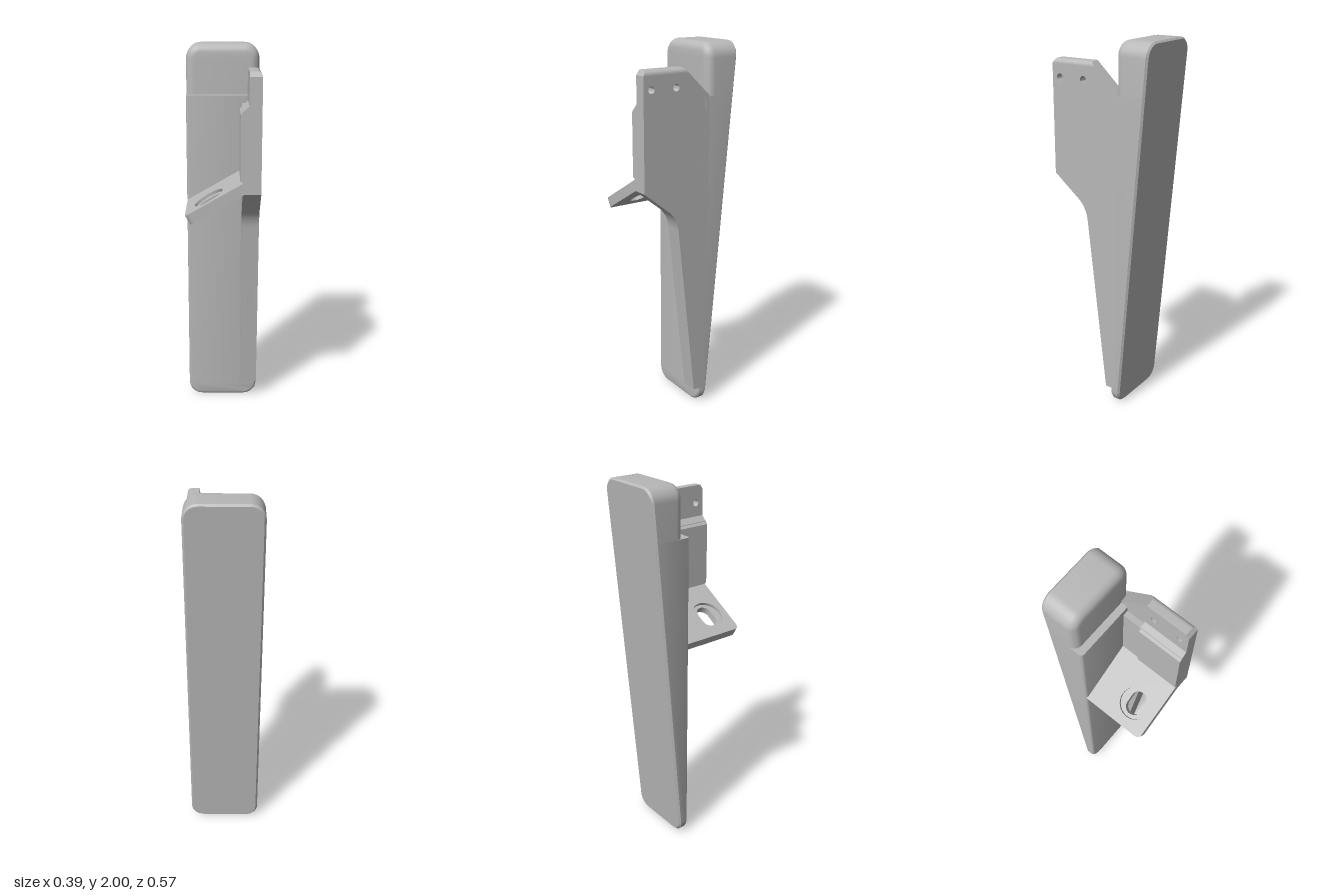
import * as THREE from 'three';
import { toCreasedNormals } from 'three/addons/utils/BufferGeometryUtils.js';

const grey = new THREE.MeshStandardMaterial({ color: 0xb8b8b8 });
grey.name = 'plain grey';

const HALF = 0.193;        // half width of the body
const CORNER = 0.075;      // outline corner radius
const backZ = (y) => -0.285 + (2 - y) * 0.0875;   // sloping back plane

// Outline with two rounded corners at one end and a square cut at the other
function outline(length, inset, flip) {
  const w = HALF - inset, r = CORNER - inset, pts = [];
  const n = 8;
  for (const [cx, start] of [[-w + r, Math.PI], [w - r, Math.PI * 1.5]]) {
    for (let i = 0; i <= n; i++) {
      const a = start + (i / n) * Math.PI / 2;
      pts.push([cx + r * Math.cos(a), inset + r + r * Math.sin(a)]);
    }
  }
  pts.push([w, length], [-w, length]);
  return flip ? pts.map(([x, y]) => [-x, 2 - y]) : pts;
}

// Wedge lofted from the chamfered sloping back to a filleted upright front
function wedge(length, front, fillet, flip) {
  const layers = [
    outline(length, 0.01, flip).map(([x, y]) => [x, y, backZ(y)]),
    outline(length, 0, flip).map(([x, y]) => [x, y, backZ(y) + 0.01]),
  ];
  for (let j = 0; j <= 6; j++) {
    const a = (j / 6) * Math.PI / 2;
    const z = front - fillet + fillet * Math.sin(a);
    layers.push(outline(length, fillet * (1 - Math.cos(a)), flip).map(([x, y]) => [x, y, z]));
  }
  const n = layers[0].length, index = [];
  for (let k = 0; k < layers.length - 1; k++) {
    for (let i = 0; i < n; i++) {
      const a = k * n + i, b = k * n + (i + 1) % n;
      index.push(a, b, b + n, a, b + n, a + n);
    }
  }
  const last = (layers.length - 1) * n;
  for (let i = 1; i < n - 1; i++) {
    index.push(0, i + 1, i, last, last + i, last + i + 1);
  }
  const geo = new THREE.BufferGeometry();
  geo.setAttribute('position', new THREE.Float32BufferAttribute(layers.flat(2), 3));
  geo.setIndex(index);
  return geo;
}

function extrude(shape, depth) {
  return new THREE.ExtrudeGeometry(shape, { depth, bevelEnabled: false, curveSegments: 20 });
}

// Extrude a side profile drawn in (z, y) between two x positions
function sidePlate(shape, x0, x1) {
  return extrude(shape, x1 - x0).rotateY(-Math.PI / 2).translate(x1, 0, 0);
}

function circleHole(x, y, r) {
  return new THREE.Path().absarc(x, y, r, 0, Math.PI * 2, true);
}

// Side profile of the flange, up to a given top height
function flangeProfile(top, slopeZ) {
  const s = new THREE.Shape();
  s.moveTo(-0.09, 0.095);
  s.lineTo(-0.03, 0.095);
  s.lineTo(0.08, 1.06);
  s.quadraticCurveTo(0.088, 1.125, 0.13, 1.165);
  s.lineTo(0.285, 1.29);
  s.lineTo(0.285, top);
  s.lineTo(slopeZ, top);
  s.lineTo(-0.11, Math.min(top, 1.74));
  s.lineTo(-0.11, 1.5);
  s.closePath();
  return s;
}

// Tab outline in (along, -z) with one rounded free corner
function tabShape() {
  const s = new THREE.Shape();
  s.moveTo(0.03, 0.07);
  s.lineTo(-0.335, 0.07);
  s.lineTo(-0.335, -0.255);
  s.quadraticCurveTo(-0.335, -0.285, -0.303, -0.285);
  s.lineTo(0.03, -0.285);
  s.closePath();
  return s;
}

export function createModel() {
  const model = new THREE.Group();
  model.name = 'bracketWedge';
  const add = (name, geo, parent = model) => {
    const mesh = new THREE.Mesh(toCreasedNormals(geo, 0.5), grey);
    mesh.name = name;
    parent.add(mesh);
  };

  // Tapered body and its rounded, set-back head
  add('body', wedge(1.738, -0.058, 0.018, false));
  add('head', wedge(0.4, -0.095, 0.045, true));

  // Side flange with two pin holes
  const flange = new THREE.Group();
  flange.name = 'sideFlange';
  model.add(flange);
  const plate = flangeProfile(1.865, 0.023);
  for (const z of [0.24, 0.095]) plate.holes.push(circleHole(z, 1.797, 0.018));
  add('outerPlate', sidePlate(plate, 0.13, HALF), flange);
  add('innerPlate', sidePlate(flangeProfile(1.7, -0.058), 0.1, 0.13), flange);

  // Rounded top edge, mitred at the front and following the slope at the back
  const edge = new THREE.Shape();
  edge.moveTo(0.13, 1.865);
  edge.lineTo(HALF, 1.865);
  edge.absarc(HALF - 0.025, 1.865, 0.025, 0, Math.PI / 2, false);
  edge.lineTo(0.13, 1.89);
  edge.closePath();
  const edgeGeo = extrude(edge, 1);
  const p = edgeGeo.attributes.position;
  for (let i = 0; i < p.count; i++) {
    const rise = p.getY(i) - 1.865;
    p.setZ(i, p.getZ(i) > 0.5 ? 0.285 - rise * 0.7 : 0.023 + rise * 1.07);
  }
  add('roundedTopEdge', edgeGeo, flange);

  // Thickened inner rib with a chamfered top
  const rib = new THREE.Shape([
    [0.088, 1.355], [0.14, 1.355], [0.14, 1.725], [0.128, 1.725], [0.088, 1.685],
  ].map(([x, y]) => new THREE.Vector2(x, y)));
  add('innerRib', extrude(rib, 0.24).translate(0, 0, 0.045), flange);

  // Slanted tab: slotted base layer below a counterbored top layer
  const tab = new THREE.Group();
  tab.name = 'slantedTab';
  tab.position.set(0.1, 1.345, 0);
  tab.rotation.z = Math.PI / 6;
  model.add(tab);
  const u = -0.198, v = -0.165, r = 0.042, reach = 0.022;
  const base = tabShape();
  const slot = new THREE.Path();
  slot.absarc(u + reach, v, r, Math.PI / 2, -Math.PI / 2, true);
  slot.absarc(u - reach, v, r, -Math.PI / 2, Math.PI / 2, true);
  base.holes.push(slot);
  add('slottedLayer', extrude(base, 0.037).rotateX(-Math.PI / 2).translate(0, -0.053, 0), tab);
  const upper = tabShape();
  upper.holes.push(circleHole(u, v, 0.083));
  add('counterboreLayer', extrude(upper, 0.016).rotateX(-Math.PI / 2).translate(0, -0.016, 0), tab);

  return model;
}
